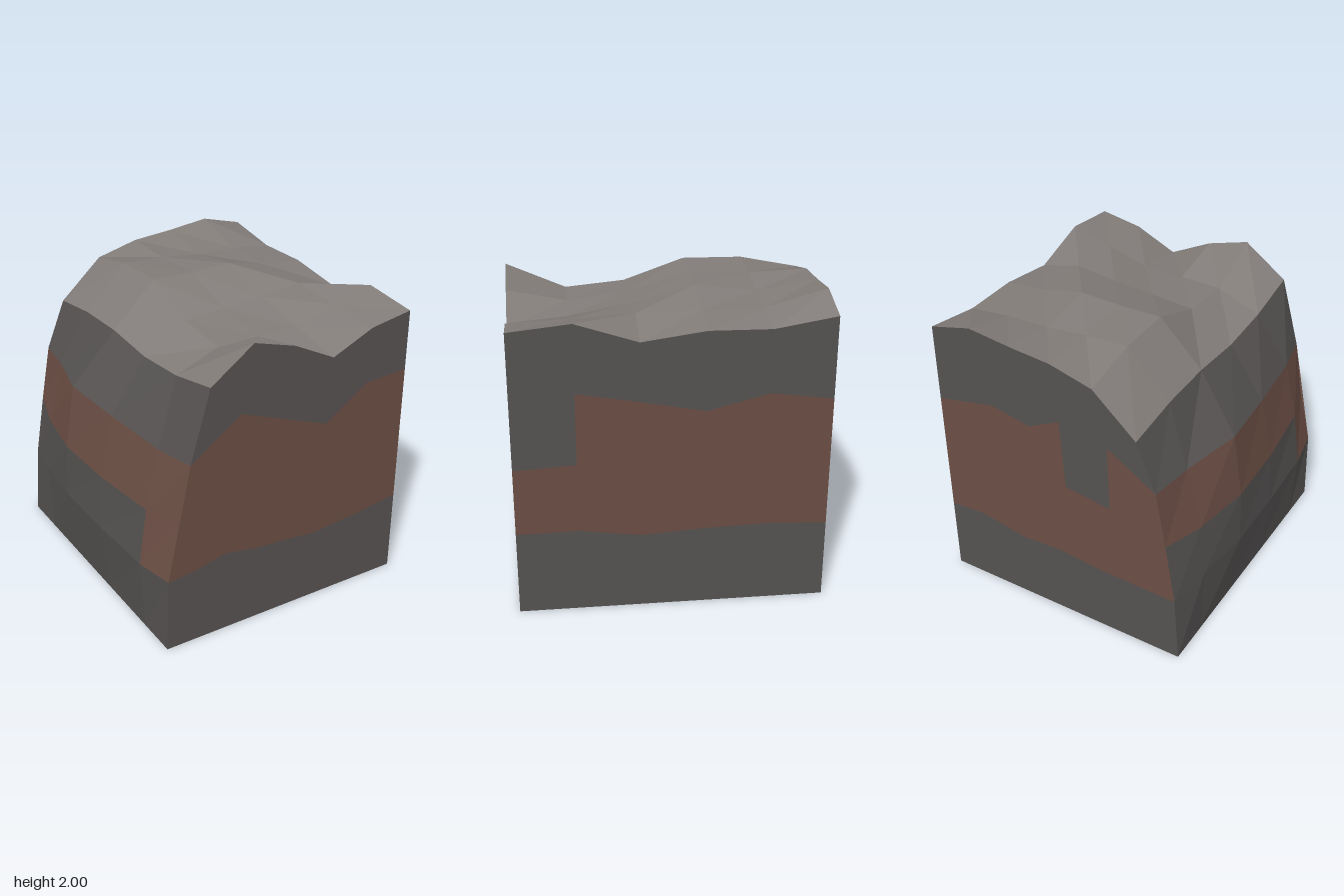
import * as THREE from 'three';

const material = (name, color) => {
  const m = new THREE.MeshStandardMaterial({ color, side: THREE.DoubleSide, flatShading: true });
  m.name = name;
  return m;
};

export function createModel() {
  const group = new THREE.Group();
  group.name = 'cliffBlock';
  const darkRock = material('darkRock', 0x555251);
  const brownRock = material('brownRock', 0x6b4e44);
  const paleRock = material('paleRock', 0x827c79);

  const add = (name, geometry, mat) => {
    const mesh = new THREE.Mesh(geometry, mat);
    mesh.name = name;
    group.add(mesh);
  };

  // Faceted surface from a list of quads [a, b, c, d], counter-clockwise
  const quads = (list) => {
    const p = [];
    for (const [a, b, c, d] of list) p.push(...a, ...b, ...c, ...a, ...c, ...d);
    const g = new THREE.BufferGeometry();
    g.setAttribute('position', new THREE.Float32BufferAttribute(p, 3));
    g.computeVertexNormals();
    return g;
  };

  // Flat cut wall: lower rock, brown layer and upper rock between height lines
  const wall = (name, lines, place) => {
    const layers = ['Base', 'BrownLayer', 'Crown'];
    for (let i = 0; i < 3; i++) {
      const outline = [...lines[i], ...[...lines[i + 1]].reverse()];
      const shape = new THREE.Shape(outline.map(([u, v]) => new THREE.Vector2(u, v)));
      const g = new THREE.ShapeGeometry(shape);
      place(g);
      add(name + layers[i], g, i === 1 ? brownRock : darkRock);
    }
  };

  // Uneven top
  const xs = [-0.545, -0.25, 0.04, 0.33, 0.62, 0.91];
  const zs = [-0.98, -0.59, -0.2, 0.2, 0.59, 0.98];
  const heights = [
    [1.60, 1.865, 1.94, 1.965, 2.00, 1.925],
    [1.65, 1.945, 1.93, 1.90, 1.89, 1.86],
    [1.66, 1.95, 1.945, 1.955, 1.89, 1.865],
    [1.63, 1.81, 1.83, 1.85, 1.885, 1.81],
    [1.66, 1.775, 1.78, 1.78, 1.865, 1.94],
    [1.74, 1.95, 1.865, 1.72, 1.85, 1.90],
  ];
  const top = (i, j) => [xs[i], heights[j][i], zs[j]];
  const topQuads = [];
  for (let j = 0; j < 5; j++) {
    for (let i = 0; i < 5; i++) {
      topQuads.push([top(i, j), top(i, j + 1), top(i + 1, j + 1), top(i + 1, j)]);
    }
  }
  add('topSurface', quads(topQuads), paleRock);

  // Bulging weathered side, row by row from the ground to the rim
  const sideZ = [-0.98, -0.68, -0.27, 0.2, 0.7, 0.98];
  const sideX = [
    [-0.855, -0.855, -0.855, -0.855, -0.855, -0.855],
    [-0.82, -0.87, -0.915, -0.905, -0.885, -0.84],
    [-0.75, -0.83, -0.90, -0.88, -0.83, -0.745],
    [-0.68, -0.72, -0.83, -0.79, -0.735, -0.68],
  ];
  const sideY = [
    [0, 0, 0, 0, 0, 0],
    [0.47, 0.50, 0.50, 0.49, 0.49, 0.50],
    [0.89, 0.86, 0.87, 0.86, 0.87, 0.88],
    [1.27, 1.27, 1.30, 1.28, 1.26, 1.27],
  ];
  const side = (k, j) => (k === 4 ? top(0, j) : [sideX[k][j], sideY[k][j], sideZ[j]]);
  const sideDark = [], sideBrown = [];
  for (let k = 0; k < 4; k++) {
    for (let j = 0; j < 5; j++) {
      const brown = k === 2 || (k === 1 && j === 4);
      (brown ? sideBrown : sideDark).push([side(k, j), side(k, j + 1), side(k + 1, j + 1), side(k + 1, j)]);
    }
  }
  add('weatheredSide', quads(sideDark), darkRock);
  add('weatheredSideBrownLayer', quads(sideBrown), brownRock);

  // Front wall, u = x
  const profile = (j) => [0, 1, 2, 3].map((k) => [sideX[k][j], sideY[k][j]]);
  const [f0, f1, f2, f3] = profile(5);
  wall('frontWall', [
    [f0, [0.91, 0]],
    [f1, [-0.65, 0.52], [-0.43, 0.57], [-0.2, 0.53], [0.25, 0.49], [0.6, 0.52], [0.91, 0.565]],
    [f2, f3, [-0.33, 1.515], [0, 1.39], [0.3, 1.275], [0.6, 1.48], [0.91, 1.50]].slice(0),
    xs.map((x, i) => [x, heights[5][i]]),
  ].map((line, i) => (i === 2 ? line.slice(1) : line)).map((line, i) => line), (g) => g.translate(0, 0, 0.98));
  // Sliver of the front wall beside the bulge
  add('frontWallEdge', new THREE.ShapeGeometry(new THREE.Shape([f1, f2, f3].map(([u, v]) => new THREE.Vector2(u, v))))
    .translate(0, 0, 0.98), brownRock);

  // Back wall, u = -x
  const flip = (line) => line.map(([x, y]) => [-x, y]).reverse();
  const [b0, b1, b2, b3] = profile(0);
  wall('backWall', [
    [b0, [0.91, 0]],
    [b2, b1, [-0.25, 0.48], [0.03, 0.51], [0.32, 0.49], [0.65, 0.55], [0.91, 0.53]].slice(1),
    [b2, b3, [-0.345, 1.48], [-0.355, 1.02], [-0.035, 1.06], [-0.005, 1.545],
      [0.22, 1.43], [0.5, 1.485], [0.91, 1.395]],
    xs.map((x, i) => [x, heights[0][i]]),
  ].map((line, i) => flip(i === 2 ? line.slice(1) : line)), (g) => g.rotateY(Math.PI).translate(0, 0, -0.98));
  add('backWallEdge', new THREE.ShapeGeometry(new THREE.Shape([b1, b2, b3].map(([u, v]) => new THREE.Vector2(-u, v))))
    .rotateY(Math.PI).translate(0, 0, -0.98), brownRock);

  // Straight side wall, u = -z
  wall('straightWall', [
    [[0.98, 0], [-0.98, 0]],
    [[0.98, 0.565], [0.59, 0.57], [0.2, 0.515], [-0.2, 0.54], [-0.59, 0.55], [-0.98, 0.53]],
    [[0.98, 1.01], [0.59, 1.03], [0.589, 1.50], [0.2, 1.43], [-0.2, 1.35], [-0.59, 1.45], [-0.98, 1.395]],
    zs.map((z, j) => [z, heights[j][5]]).reverse(),
  ].map((line) => line.map(([z, y]) => [-z, y])), (g) => g.rotateY(Math.PI / 2).translate(0.91, 0, 0));

  return group;
}
